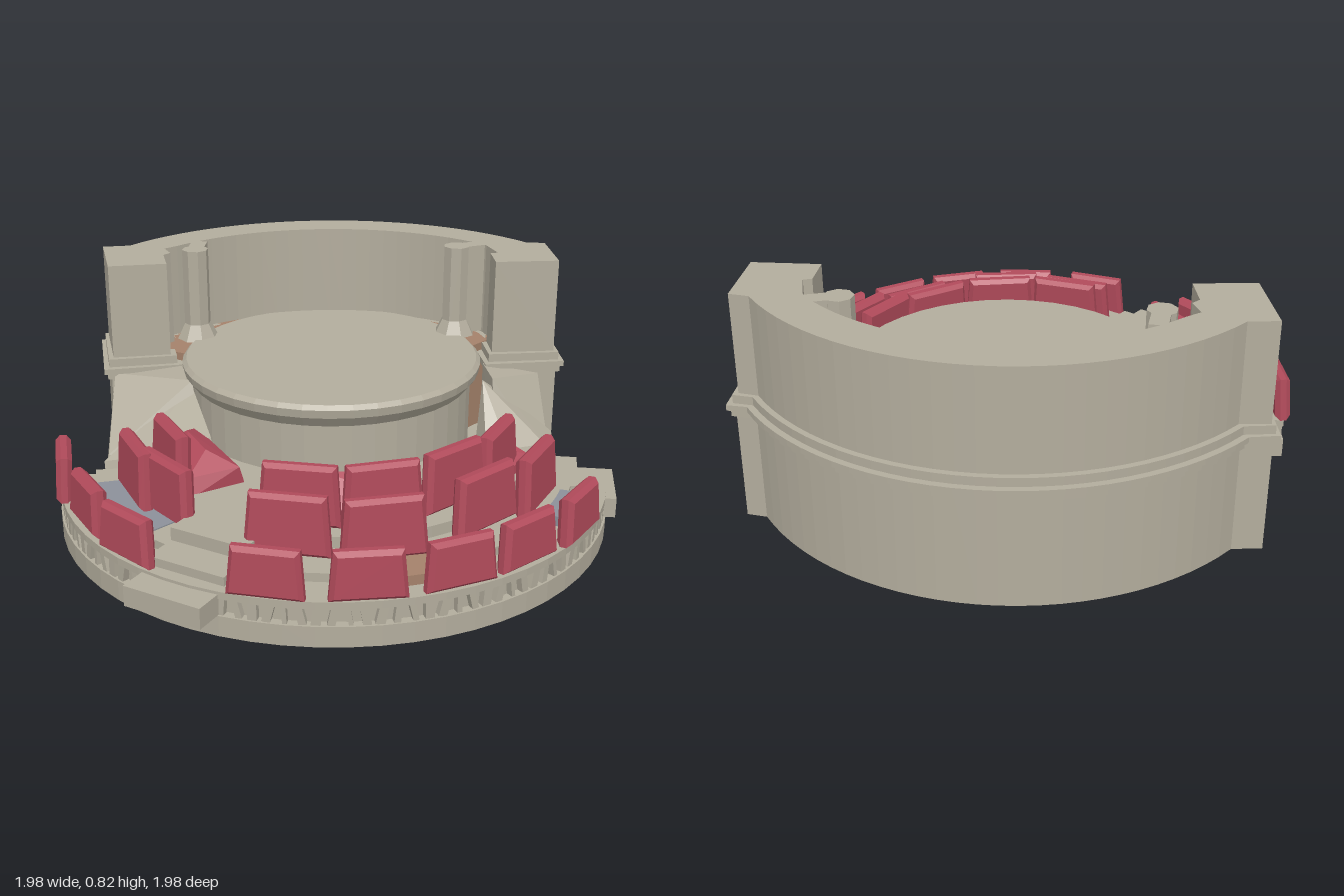
import * as THREE from 'three';
import { ConvexGeometry } from 'three/addons/geometries/ConvexGeometry.js';

const DEG = Math.PI / 180;
const mat = (color) => new THREE.MeshStandardMaterial({ color, flatShading: true, side: THREE.DoubleSide });

// point on the plan; angle 0 faces the front, positive turns to +x
const polar = (r, deg) => [r * Math.sin(deg * DEG), r * Math.cos(deg * DEG)];

function arc(r, a0, a1, n) {
  const pts = [];
  for (let i = 0; i <= n; i++) pts.push(polar(r, a0 + (a1 - a0) * i / n));
  return pts;
}

// upright prism over a plan outline of [x, z] points
function prism(pts, y0, y1) {
  const shape = new THREE.Shape(pts.map(([x, z]) => new THREE.Vector2(x, z)));
  const g = new THREE.ExtrudeGeometry(shape, { depth: y1 - y0, bevelEnabled: false });
  return g.rotateX(Math.PI / 2).translate(0, y1, 0);
}

const sector = (r0, r1, a0, a1, y0, y1) =>
  prism([...arc(r1, a0, a1, 28), ...arc(r0, a1, a0, 28)], y0, y1);

const hull = (pts) => new ConvexGeometry(pts.map((p) => new THREE.Vector3(...p)));

// plan of the curved wall with its two end blocks, grown outward by d
function wallPlan(d) {
  return [
    ...arc(0.955 + d, 218, 112, 28),
    [0.95 + d, -0.33 - d * 0.5], [0.89 + d * 0.6, -0.08 + d], [0.66 - d, -0.13 + d],
    [0.69 - d, -0.25], [0.72 - d, -0.25], [0.72 - d, -0.36],
    ...arc(0.81 - d, 118, 211, 24),
    [-0.47 + d, -0.67], [-0.46 + d, -0.6], [-0.49 + d, -0.58], [-0.5 + d, -0.455 + d],
    [-0.71 - d, -0.48 + d], [-0.69 - d * 0.6, -0.765 - d * 0.6],
  ];
}

export function createModel() {
  const model = new THREE.Group();
  const stone = mat(0xb3ad9d), red = mat(0xb04a5a), brown = mat(0xa5826b), slate = mat(0x8c919a);
  const add = (name, geo, material = stone, parent = model) => {
    const m = new THREE.Mesh(geo, material);
    m.name = name;
    parent.add(m);
    return m;
  };

  // ground disc and stepped seating tiers
  add('baseDisc', new THREE.CylinderGeometry(0.83, 0.83, 0.14, 48).translate(0, 0.07, 0));
  add('rimFoot', sector(0.5, 0.975, -102, 62, 0, 0.07));
  add('rimRecess', sector(0.5, 0.945, -102, 62, 0.07, 0.125));
  add('outerTier', sector(0.5, 0.97, -102, 62, 0.125, 0.15));
  add('middleTier', sector(0.4, 0.85, -100, 64, 0.14, 0.18));
  add('innerTier', sector(0.3, 0.69, -98, 70, 0.14, 0.22));

  // small uneven posts in the recess of the rim
  for (let i = 0; i < 56; i++) {
    const a = -101 + i * 2.9;
    const w = 0.012 + 0.018 * Math.abs(Math.sin(i * 2.3));
    const [x, z] = polar(0.955, a);
    add('rimPost', new THREE.BoxGeometry(w, 0.06, 0.025)
      .rotateZ(0.25 * Math.sin(i * 1.7)).rotateY(a * DEG).translate(x, 0.098, z));
  }

  // floor patches
  add('leftFloorPatch', sector(0.72, 0.92, -92, -62, 0.15, 0.184), slate);
  add('rightFloorPatch', sector(0.82, 0.92, 40, 54, 0.14, 0.184), slate);
  add('frontFloorPatch', sector(0.74, 0.9, -3, 13, 0.14, 0.184), brown);

  // stage with a lip, and the floor behind it
  const stageProfile = [[0.52, 0.1], [0.52, 0.4], [0.55, 0.44], [0.555, 0.47], [0.54, 0.485], [0, 0.485]]
    .map(([r, y]) => new THREE.Vector2(r, y));
  add('stage', new THREE.LatheGeometry(stageProfile, 40).translate(0.075, 0, -0.28));
  add('backstageFloor',
    prism([...arc(0.84, 112, 218, 24), [-0.5, -0.5], [-0.3, -0.3], [0.5, -0.15]], 0.1, 0.475), brown);

  // curved wall, moulding and end blocks
  add('lowerWall', prism(wallPlan(0.012), 0.015, 0.4));
  add('wallMouldingLower', prism(wallPlan(0.028), 0.4, 0.425));
  add('wallMoulding', prism(wallPlan(0.042), 0.425, 0.445));
  add('wallMouldingUpper', prism(wallPlan(0.02), 0.445, 0.475));
  add('upperWall', prism(wallPlan(0), 0.475, 0.825));

  // columns beside the stage, each tied to the wall by a short web
  for (const [x, z, wx, wz] of [[-0.36, -0.63, -0.32, -0.74], [0.61, -0.39, 0.72, -0.4]]) {
    const column = new THREE.Group();
    column.name = 'stageColumn';
    model.add(column);
    add('columnShaft', new THREE.CylinderGeometry(0.05, 0.05, 0.345, 8).translate(x, 0.6525, z), stone, column);
    add('columnBase', new THREE.CylinderGeometry(0.05, 0.08, 0.06, 8).translate(x, 0.505, z), stone, column);
    const length = Math.hypot(wx - x, wz - z);
    add('columnWeb', new THREE.BoxGeometry(0.06, 0.345, length)
      .rotateY(Math.atan2(wx - x, wz - z)).translate((x + wx) / 2, 0.6525, (z + wz) / 2), stone, column);
  }

  // rubble slopes between the wall ends and the seating
  const rubble = [
    [[-0.71, 0.42, -0.46], [-0.47, 0.44, -0.44], [-0.46, 0.44, -0.25], [-0.63, 0.36, -0.3],
      [-0.74, 0.1, -0.47], [-0.8, 0.1, -0.2], [-0.78, 0.2, -0.22], [-0.45, 0.1, -0.12]],
    [[-0.46, 0.42, -0.28], [-0.6, 0.3, -0.22], [-0.8, 0.19, -0.19], [-0.68, 0.22, -0.12],
      [-0.44, 0.3, -0.04], [-0.8, 0.1, -0.16], [-0.42, 0.1, 0.02]],
    [[0.62, 0.44, -0.12], [0.82, 0.4, -0.06], [0.6, 0.43, 0.02], [0.74, 0.3, 0.04],
      [0.83, 0.1, 0.02], [0.82, 0.26, 0], [0.6, 0.1, 0.1], [0.8, 0.1, 0.14]],
    [[0.57, 0.42, 0], [0.68, 0.34, 0.02], [0.82, 0.22, 0.08], [0.76, 0.2, 0.22],
      [0.53, 0.26, 0.14], [0.6, 0.18, 0.25], [0.82, 0.1, 0.16], [0.5, 0.1, 0.1]],
  ];
  rubble.forEach((pts) => add('rubbleSlope', hull(pts)));

  // aisle stairs projecting past the rim: [angle, outer radius, width]
  for (const [a, r, w] of [[65.6, 1.0, 0.25], [-46, 1.055, 0.28]]) {
    const stairs = new THREE.Group();
    stairs.name = 'aisleStairs';
    stairs.rotation.y = a * DEG;
    model.add(stairs);
    [[r, 0.07, 0.14], [r - 0.13, 0.1, 0.18], [r - 0.25, 0.12, 0.225]].forEach(([end, y0, y1]) => {
      const d = end - 0.62;
      add('step', new THREE.BoxGeometry(w, y1 - y0, d).translate(0, (y0 + y1) / 2, 0.62 + d / 2), stone, stairs);
    });
  }

  // seat backs: tapered slabs with bevelled edges
  function seatBack(r, a, w, y0, y1) {
    const b = 0.014, hw = w / 2 - b, h = y1 - y0 - 2 * b;
    const shape = new THREE.Shape([[-hw, 0], [hw, 0], [hw * 0.88, h], [-hw * 0.88, h]]
      .map(([x, y]) => new THREE.Vector2(x, y)));
    const g = new THREE.ExtrudeGeometry(shape,
      { depth: 0.022, bevelThickness: 0.016, bevelSize: b, bevelSegments: 1 });
    g.translate(0, b, -0.011).rotateX(-0.06);
    const [x, z] = polar(r, a);
    const seat = add('seatBack', g, red);
    seat.position.set(x, y0, z);
    seat.rotation.y = a * DEG;
  }
  const rows = [
    { w: 0.24, y0: 0.15, y1: 0.31, seats: [[0.955, 39.5], [0.94, 23], [0.945, 7], [0.95, -10.6], [0.955, -29], [0.945, -60], [0.93, -77], [0.96, -95]] },
    { w: 0.28, y0: 0.18, y1: 0.38, seats: [[0.77, 45], [0.725, 25.5], [0.76, -5], [0.735, -28], [0.74, -82], [0.715, -67]] },
    { w: 0.27, y0: 0.22, y1: 0.425, seats: [[0.6, 24], [0.625, 46], [0.61, -2], [0.61, -27], [0.62, -80]] },
  ];
  rows.forEach(({ w, y0, y1, seats }) => seats.forEach(([r, a]) => seatBack(r, a, w, y0, y1)));

  // loose faceted cushions: [x, z, half width, half depth, turn in degrees]
  for (const [x, z, w, d, turn] of [[-0.09, 0.455, 0.22, 0.1, -12], [0.44, 0.33, 0.15, 0.1, 28], [-0.515, 0.04, 0.18, 0.1, -75]]) {
    const cushion = add('cushion', hull([
      [-w, 0, -d], [w, 0, -d], [w, 0, d], [-w, 0, d],
      [-w * 0.9, 0.09, -d * 0.9], [w, 0.07, -d * 0.8], [w * 0.85, 0.06, d], [-w, 0.05, d * 0.6],
      [-w * 0.4, 0.13, -d * 0.1], [w * 0.5, 0.12, 0],
    ]), red);
    cushion.position.set(x, 0.21, z);
    cushion.rotation.y = turn * DEG;
  }
  return model;
}
